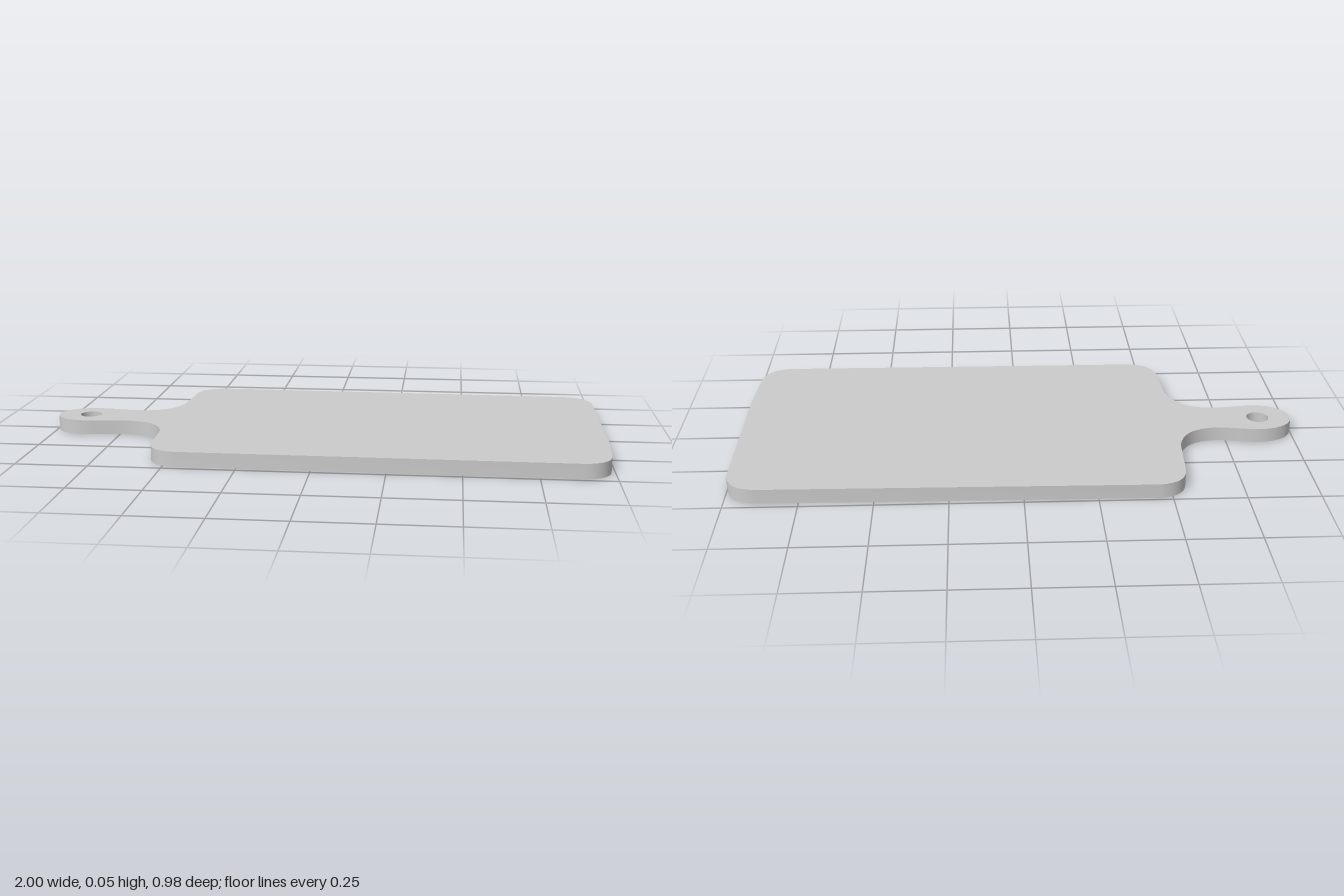
import * as THREE from 'three';
import { toCreasedNormals } from 'three/addons/utils/BufferGeometryUtils.js';

const THICKNESS = 0.052;

export function createModel() {
  const group = new THREE.Group();
  group.name = 'cuttingBoard';

  // Outline drawn in plan, with shape y pointing to the back (-z)
  const s = new THREE.Shape();
  // slightly uneven board with rounded corners
  s.moveTo(-0.46, -0.48);
  s.lineTo(0.89, -0.487);
  s.bezierCurveTo(0.96, -0.48, 0.985, -0.44, 0.99, -0.38);
  s.lineTo(1.0, -0.2);
  s.lineTo(1.0, 0.38);
  s.bezierCurveTo(0.985, 0.44, 0.96, 0.47, 0.89, 0.475);
  s.lineTo(-0.45, 0.49);
  s.bezierCurveTo(-0.52, 0.485, -0.55, 0.45, -0.555, 0.39);
  s.lineTo(-0.565, 0.21);
  // back shoulder flowing into the neck
  s.bezierCurveTo(-0.585, 0.13, -0.63, 0.085, -0.72, 0.085);
  s.bezierCurveTo(-0.78, 0.087, -0.82, 0.105, -0.88, 0.104);
  // round handle end
  s.bezierCurveTo(-0.95, 0.1, -1.0, 0.06, -1.0, 0.008);
  s.bezierCurveTo(-1.0, -0.045, -0.95, -0.09, -0.88, -0.09);
  // front neck and shoulder
  s.bezierCurveTo(-0.82, -0.087, -0.78, -0.075, -0.72, -0.077);
  s.bezierCurveTo(-0.64, -0.08, -0.59, -0.12, -0.568, -0.21);
  s.lineTo(-0.56, -0.38);
  s.bezierCurveTo(-0.55, -0.44, -0.52, -0.475, -0.46, -0.48);

  // hanging hole
  const hole = new THREE.Path();
  hole.absarc(-0.88, 0.008, 0.04, 0, Math.PI * 2, true);
  s.holes.push(hole);

  const slab = new THREE.ExtrudeGeometry(s, { depth: THICKNESS, bevelEnabled: false, curveSegments: 8 });
  slab.rotateX(-Math.PI / 2);

  const board = new THREE.Mesh(
    toCreasedNormals(slab, 0.7),
    new THREE.MeshStandardMaterial({ color: 0xcccccc })
  );
  board.name = 'boardWithHandle';
  group.add(board);
  return group;
}
